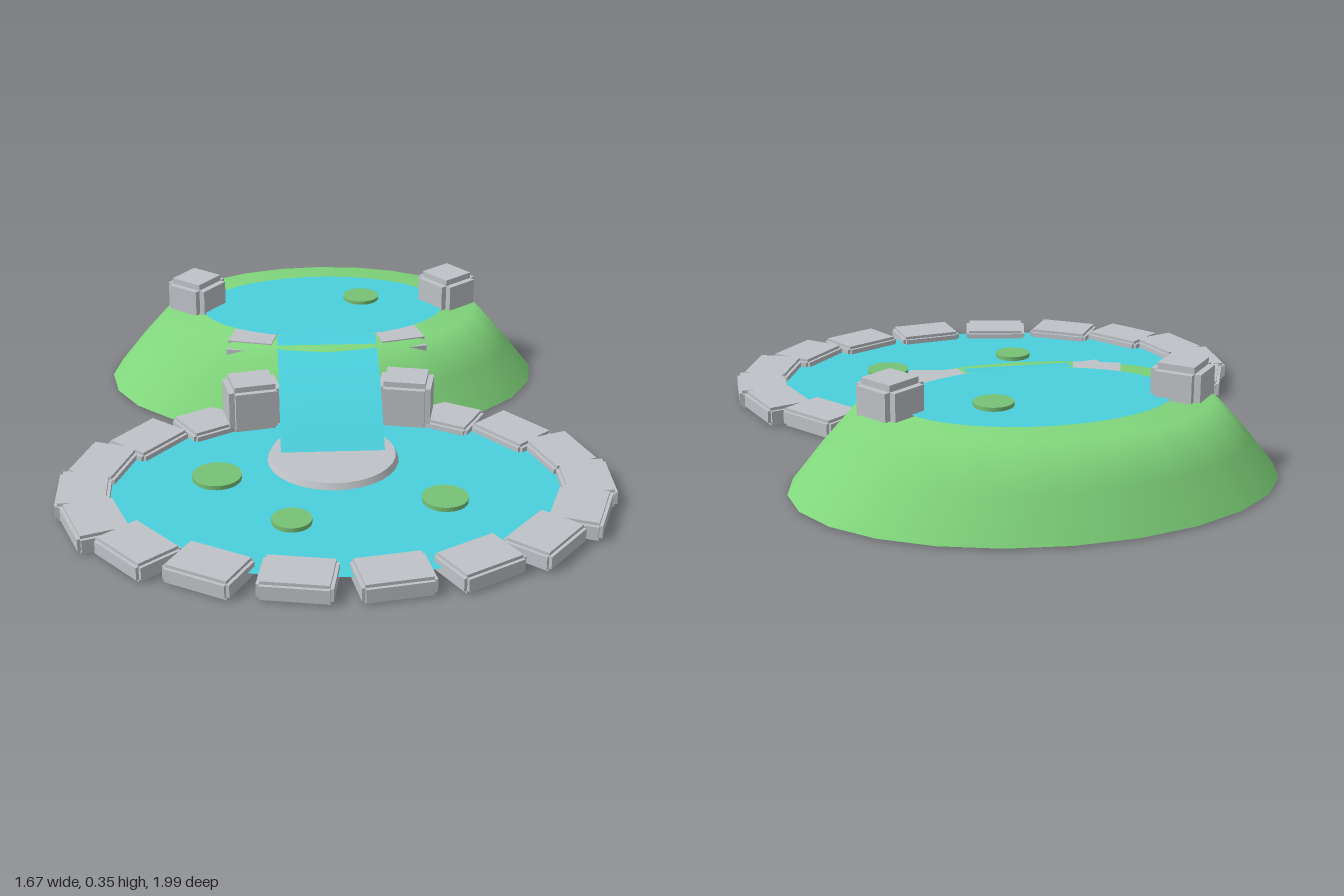
import * as THREE from 'three';
import { mergeGeometries } from 'three/addons/utils/BufferGeometryUtils.js';

export function createModel() {
  const model = new THREE.Group();
  model.name = 'pondWithWaterfall';
  const mat = (name, color, side = THREE.FrontSide) =>
    Object.assign(new THREE.MeshStandardMaterial({ color, side }), { name });
  const grass = mat('grass', 0x82d87d, THREE.DoubleSide);
  const water = mat('water', 0x4ad0dd, THREE.DoubleSide);
  const rock = mat('stone', 0xbfc3c7);
  const leaf = mat('lilyLeaf', 0x78c276);

  const add = (name, geometry, material, x = 0, y = 0, z = 0) => {
    const mesh = new THREE.Mesh(geometry, material);
    mesh.name = name;
    mesh.position.set(x, y, z);
    model.add(mesh);
    return mesh;
  };

  // A stone with notched edges: three crossing boxes, each long on one axis
  const stone = (name, [w, h, d], notch, [x, y, z], turn) => {
    const n = notch * 2;
    const geometry = mergeGeometries([
      new THREE.BoxGeometry(w, h - n, d - n),
      new THREE.BoxGeometry(w - n, h, d - n),
      new THREE.BoxGeometry(w - n, h - n, d),
    ]);
    add(name, geometry, rock, x, y, z).rotation.y = turn;
  };

  // Flat elliptical water surface
  const pool = (name, rx, rz, y, z) => {
    const geometry = new THREE.CircleGeometry(1, 40);
    geometry.rotateX(-Math.PI / 2).scale(rx, 1, rz);
    add(name, geometry, water, 0, y, z);
  };

  // Hollow hill with a flat top, open underneath
  const profile = [[1, 0.005], [0.87, 0.125], [0.72, 0.25], [0, 0.25]]
    .map(([r, y]) => new THREE.Vector2(r, y));
  const hill = new THREE.LatheGeometry(profile, 24);
  hill.scale(0.73, 1, 0.5);
  add('hill', hill, grass, 0, 0, -0.5);

  pool('upperPool', 0.41, 0.262, 0.257, -0.487);
  pool('lowerPond', 0.755, 0.5, 0.035, 0.4);

  // Falling sheet of water, flat at the lip and steeper towards the pond
  const fall = new THREE.PlaneGeometry(0.325, 1, 1, 12);
  const p = fall.attributes.position;
  for (let i = 0; i < p.count; i++) {
    const t = 0.5 - p.getY(i);
    p.setY(i, 0.2575 - 0.21 * Math.pow(t, 1.75));
    p.setZ(i, -0.24 + 0.45 * t);
  }
  fall.computeVertexNormals();
  add('waterfall', fall, water);

  // Splash stone under the waterfall
  add('splashStone', new THREE.CylinderGeometry(0.195, 0.207, 0.025, 32), rock, 0, 0.042, 0.21);

  // Ring of border stones, left open below the waterfall
  for (let i = 0; i < 18; i++) {
    if (i === 8 || i === 9) continue;
    const a = THREE.MathUtils.degToRad(10 + 20 * i);
    const at = [0.757 * Math.sin(a), 0.031, 0.4 + 0.505 * Math.cos(a)];
    stone('borderStone', [0.215, 0.06, 0.16], 0.01, at, a);
  }

  // Mirrored boulders on the hill and beside the waterfall
  for (const s of [1, -1]) {
    stone('hillStone', [0.155, 0.13, 0.155], 0.02, [s * 0.43, 0.29, -0.53], s * 0.66);
    stone('fallBoulder', [0.17, 0.16, 0.15], 0.018, [s * 0.25, 0.112, -0.05], s * -0.2);
    stone('lipStone', [0.19, 0.12, 0.19], 0.022, [s * 0.235, 0.194, -0.268], s * 0.25);
  }

  // Lily pads: x, y, z, radius
  for (const [x, y, z, r] of [
    [0.135, 0.262, -0.545, 0.06], [-0.36, 0.042, 0.32, 0.076],
    [0.32, 0.042, 0.49, 0.07], [-0.14, 0.042, 0.595, 0.06],
  ]) add('lilyPad', new THREE.CylinderGeometry(r, r, 0.014, 24), leaf, x, y, z);

  return model;
}
